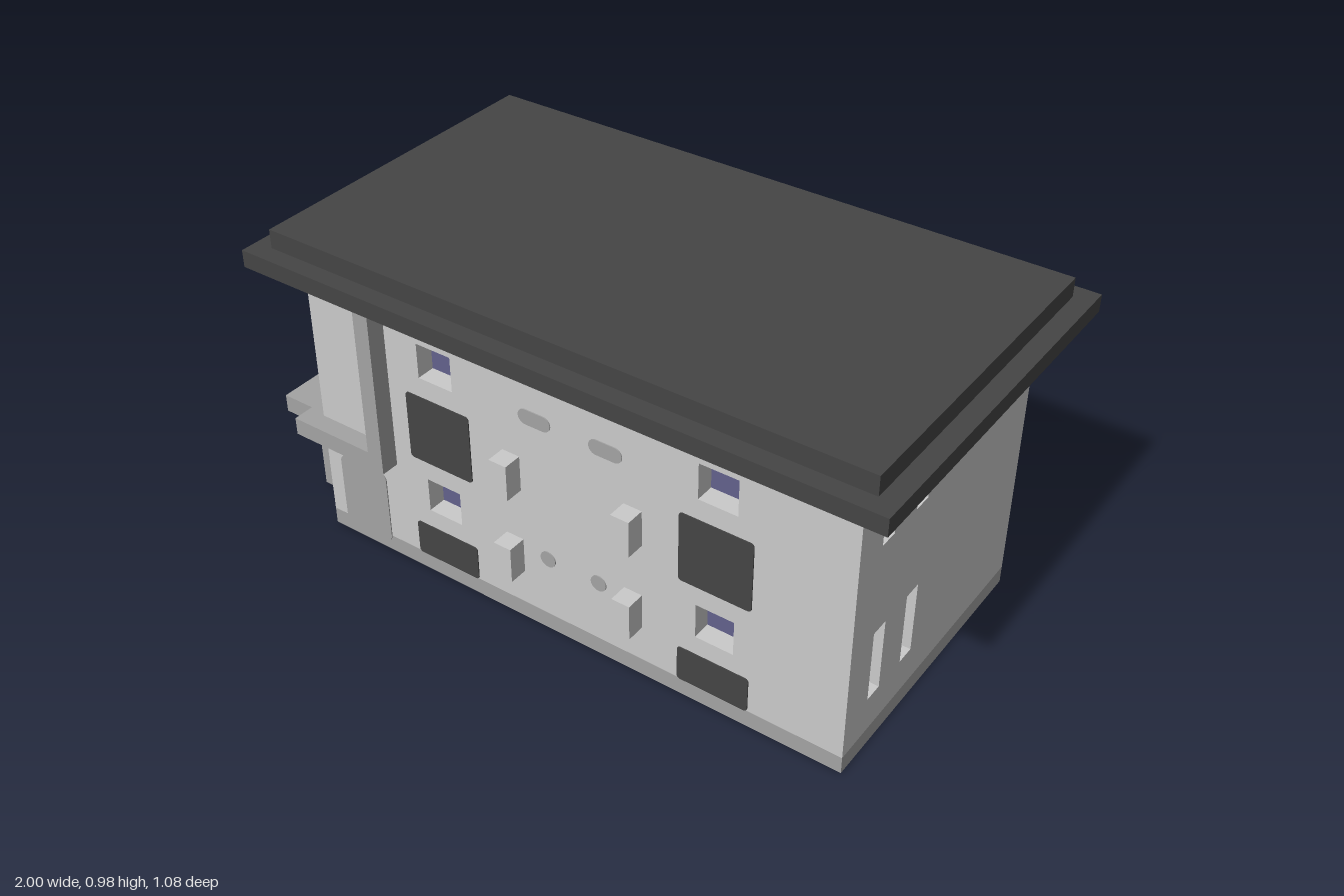
import * as THREE from 'three';

const mat = (name, color) => {
  const m = new THREE.MeshStandardMaterial({ color });
  m.name = name;
  return m;
};

// Rectangle outline with optional rounded corners
function outline([u0, v0, u1, v1], r = 0, Type = THREE.Shape) {
  const s = new Type();
  if (r === 0) {
    s.moveTo(u0, v0).lineTo(u1, v0).lineTo(u1, v1).lineTo(u0, v1).closePath();
    return s;
  }
  s.absarc(u1 - r, v0 + r, r, -Math.PI / 2, 0);
  s.absarc(u1 - r, v1 - r, r, 0, Math.PI / 2);
  s.absarc(u0 + r, v1 - r, r, Math.PI / 2, Math.PI);
  s.absarc(u0 + r, v0 + r, r, Math.PI, Math.PI * 1.5);
  s.closePath();
  return s;
}

export function createModel() {
  const model = new THREE.Group();
  model.name = 'building';
  const wall = mat('light wall', 0xcbcbcb);
  const grey = mat('mid grey', 0xa4a4a4);
  const dark = mat('dark grey', 0x454545);
  const glass = mat('blue glass', 0x62618c);

  const X0 = -0.785, X1 = 0.89, Z = 0.435, BASE = 0.055, TOP = 0.87, T = 0.055;

  function add(name, geometry, material) {
    const mesh = new THREE.Mesh(geometry, material);
    mesh.name = name;
    model.add(mesh);
    return mesh;
  }
  function box(name, m, x0, x1, y0, y1, z0, z1) {
    add(name, new THREE.BoxGeometry(x1 - x0, y1 - y0, z1 - z0), m)
      .position.set((x0 + x1) / 2, (y0 + y1) / 2, (z0 + z1) / 2);
  }

  // Each side: turn about y, and distance of its outer surface.
  // Across the side, u is: front x, right -z, back -x, left z.
  const sides = {
    front: [0, Z], right: [Math.PI / 2, X1], back: [Math.PI, Z], left: [-Math.PI / 2, -X0],
  };
  // Extruded panel on a side, from (surface + out - depth) to (surface + out)
  function panel(name, m, side, rect, { r = 0, holes = [], depth = 0.004, out = 0.003 } = {}) {
    const shape = outline(rect, r);
    holes.forEach(h => shape.holes.push(outline(h, 0, THREE.Path)));
    const g = new THREE.ExtrudeGeometry(shape, { depth, bevelEnabled: false, curveSegments: 8 });
    const [turn, dist] = sides[side];
    g.translate(0, 0, dist + out - depth).rotateY(turn);
    add(name, g, m);
  }

  // Plinth, with a thin plate beneath
  box('plinth', grey, X0, X1, 0.003, BASE, -Z, Z);
  const under = new THREE.ExtrudeGeometry(outline([-0.775, -0.43, 0.55, 0.37], 0.05),
    { depth: 0.003, bevelEnabled: false });
  add('undersidePlate', under.rotateX(-Math.PI / 2), wall);

  // Glazed core seen through the wall openings
  box('windowGlass', glass, X0 + T, X1 - T, BASE, TOP, -Z + T, Z - T);

  // Walls with recessed openings
  const frontHoles = [];
  for (const x of [-0.41, 0.457]) {
    frontHoles.push([x, 0.22, x + 0.112, 0.325], [x, 0.655, x + 0.112, 0.76]);
  }
  panel('frontWall', wall, 'front', [X0, BASE, X1, TOP], { holes: frontHoles, depth: T, out: 0 });

  const slots = [];
  for (const z of [0.328, 0.166]) {
    slots.push([-z, 0.165, -z + 0.056, 0.38], [-z, 0.65, -z + 0.056, 0.815]);
  }
  panel('rightWall', wall, 'right', [-Z + T, BASE, Z - T, TOP], { holes: slots, depth: T, out: 0 });

  const leftWindow = [-0.125, 0.54, -0.015, 0.7];
  panel('leftWall', wall, 'left', [-Z + T, BASE, Z - T, TOP], { holes: [leftWindow], depth: T, out: 0 });
  panel('leftWindowFrame', dark, 'left', [-0.175, 0.49, 0.035, 0.75], { r: 0.012, holes: [leftWindow] });
  panel('leftDarkStrip', dark, 'left', [0.305, BASE, 0.36, TOP]);

  // Back wall: piers either side of two full-height window bays
  const bays = [[0.355, 0.622], [-0.46, -0.19]];
  const piers = [[X0, -0.46], [-0.19, 0.355], [0.622, X1]];
  piers.forEach(([a, b]) => box('backPier', wall, a, b, BASE, TOP, -Z, -Z + T));
  for (const [a, b] of bays) {
    for (const [y0, y1] of [[BASE, 0.205], [0.385, 0.635], [0.82, TOP]]) {
      box('backBayPanel', dark, a, b, y0, y1, -Z, -Z + T);
    }
  }

  // Front dark panels between the windows
  for (const x of [-0.46, 0.405]) {
    for (const [y0, y1] of [[BASE, 0.163], [0.385, 0.595], [0.82, TOP]]) {
      panel('frontDarkPanel', dark, 'front', [x, y0, x + 0.212, y1], { r: 0.01 });
    }
  }

  // Painted ovals and dots, door
  for (const x of [-0.08, 0.138]) panel('oval', grey, 'front', [x, 0.657, x + 0.1, 0.702], { r: 0.0224 });
  for (const x of [-0.003, 0.16]) panel('dot', grey, 'front', [x - 0.024, 0.222, x + 0.024, 0.27], { r: 0.0239 });
  panel('frontDoor', grey, 'front', [-0.735, 0.03, -0.567, 0.273], { r: 0.025 });

  // Small projecting blocks
  for (const x of [-0.14, 0.24]) {
    for (const y of [0.165, 0.435]) box('frontBlock', wall, x, x + 0.055, y, y + 0.108, Z, 0.49);
  }

  // Angular trim round the front corner
  box('trimUpright', grey, -0.57, -0.52, 0.38, TOP, Z, 0.49);
  box('trimLedge', grey, -0.84, -0.52, 0.327, 0.38, Z, 0.49);
  box('trimReturn', grey, -0.84, X0, 0.327, 0.38, 0.205, Z);

  // Porch
  box('porchCanopy', grey, -1, X0, 0.273, 0.327, -0.38, 0.375);
  for (const z of [-0.305, 0.29]) box('porchPost', grey, -0.945, -0.895, 0, 0.273, z - 0.025, z + 0.025);

  // Stepped roof with a pale soffit
  box('roofEave', dark, -0.895, 1, TOP, 0.92, -0.54, 0.54);
  box('roofTop', dark, -0.84, 0.945, 0.92, 0.975, -0.488, 0.488);
  const soffit = new THREE.ExtrudeGeometry(outline([-0.84, -0.488, 0.945, 0.488], 0.05),
    { depth: 0.003, bevelEnabled: false });
  add('soffit', soffit.rotateX(-Math.PI / 2).translate(0, TOP - 0.002, 0), wall);

  return model;
}
